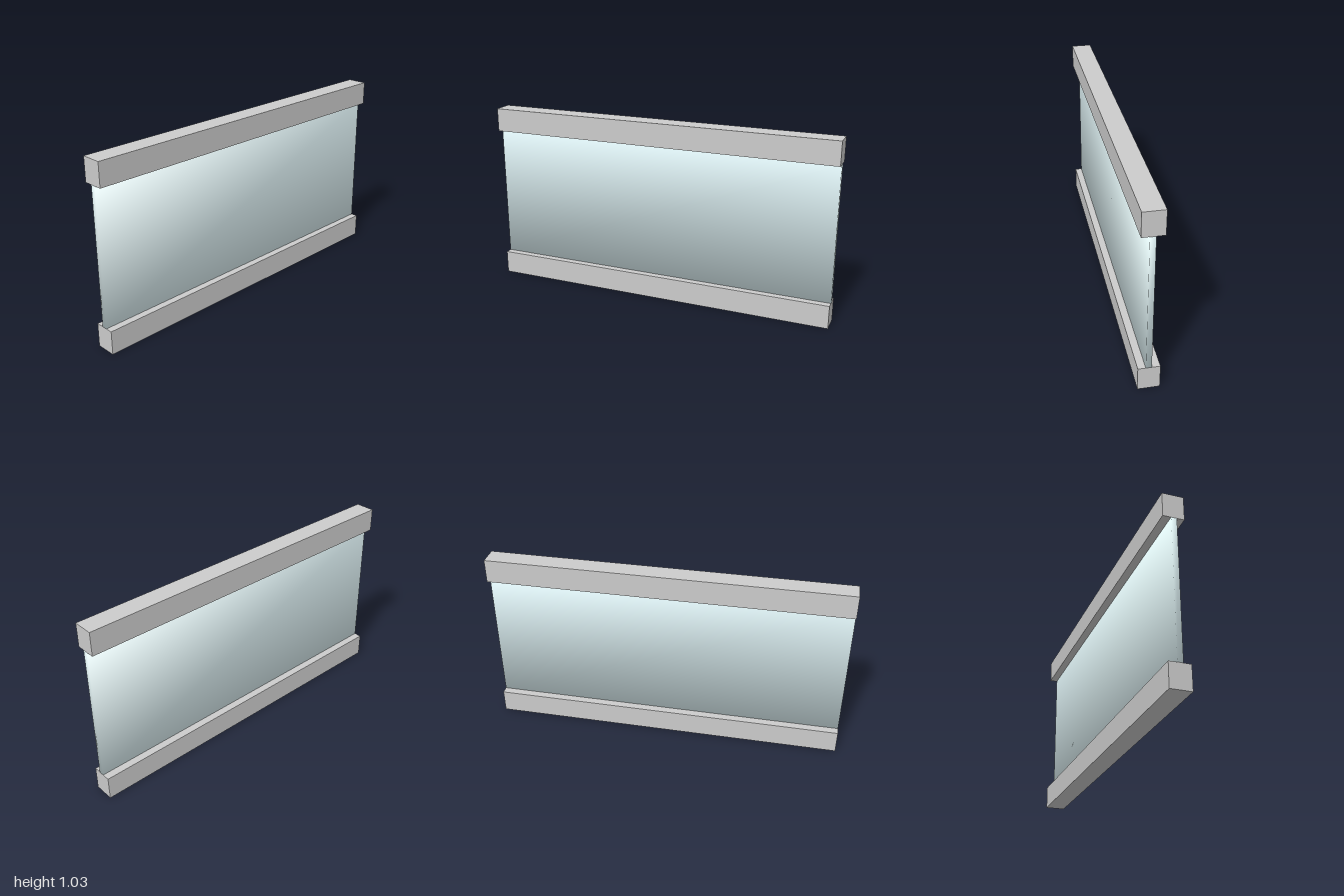
import * as THREE from 'three';
import { mergeVertices } from 'three/addons/utils/BufferGeometryUtils.js';

const LENGTH = 1.998, HEIGHT = 1.03, RAIL_HEIGHT = 0.132, RAIL_DEPTH = 0.113;
const PANE_DEPTH = 0.03, YAW = 0.0185;

// Box whose eight corners are shared, with normals pointing out along the diagonals
function softBox(width, height, depth) {
  const box = new THREE.BoxGeometry(width, height, depth);
  box.deleteAttribute('uv');
  box.deleteAttribute('normal');
  const geometry = mergeVertices(box);
  const position = geometry.attributes.position;
  const normals = [];
  const n = new THREE.Vector3();
  for (let i = 0; i < position.count; i++) {
    n.fromBufferAttribute(position, i);
    n.set(Math.sign(n.x), Math.sign(n.y), Math.sign(n.z)).normalize();
    normals.push(n.x, n.y, n.z);
  }
  geometry.setAttribute('normal', new THREE.Float32BufferAttribute(normals, 3));
  return geometry;
}

export function createModel() {
  const model = new THREE.Group();
  model.name = 'glassRailing';
  const railMaterial = new THREE.MeshStandardMaterial({ color: 0xcccccc });
  const glassMaterial = new THREE.MeshStandardMaterial({ color: 0xe2f6f9 });

  // Bottom and top rails
  const railGeometry = new THREE.BoxGeometry(LENGTH, RAIL_HEIGHT, RAIL_DEPTH);
  const rails = { bottomRail: RAIL_HEIGHT / 2, topRail: HEIGHT - RAIL_HEIGHT / 2 };
  for (const [name, y] of Object.entries(rails)) {
    const rail = new THREE.Mesh(railGeometry, railMaterial);
    rail.name = name;
    rail.position.y = y;
    model.add(rail);
  }

  // Glass pane between the rails
  const pane = new THREE.Mesh(softBox(LENGTH, HEIGHT - 2 * RAIL_HEIGHT, PANE_DEPTH), glassMaterial);
  pane.name = 'glassPane';
  pane.position.set(0, HEIGHT / 2, 0.002);
  model.add(pane);

  // The whole panel stands slightly turned
  model.rotation.y = YAW;
  return model;
}
